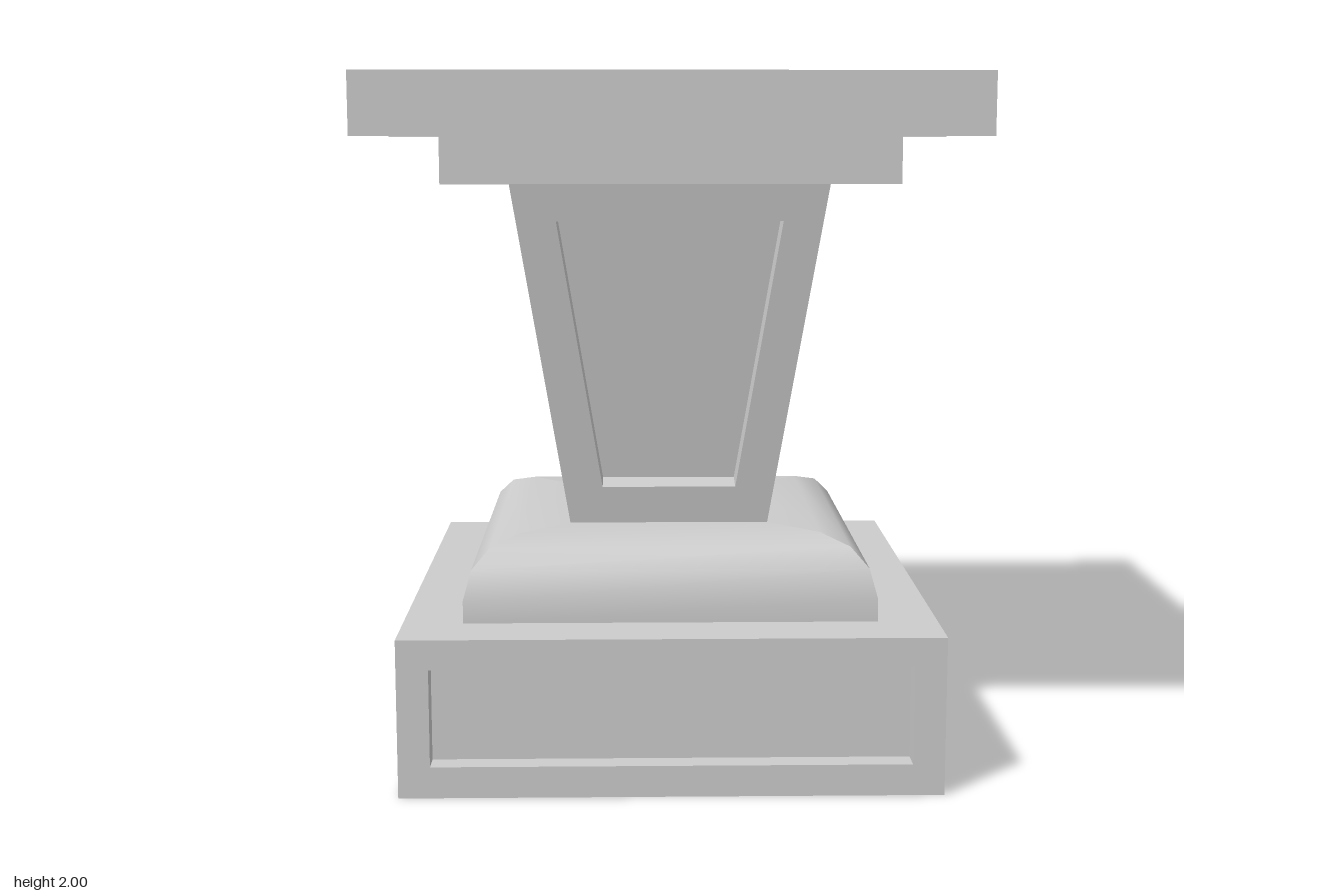
import * as THREE from 'three';

const material = new THREE.MeshStandardMaterial({ color: 0xcccccc, flatShading: true });
const smooth = new THREE.MeshStandardMaterial({ color: 0xcccccc });
const V = (x, y, z) => new THREE.Vector3(x, y, z);

// Horizontal square ring of half-width h at height y
const square = (h, y) => [V(-h, y, h), V(h, y, h), V(h, y, -h), V(-h, y, -h)];

// Skin successive four-cornered rings with flat faces
function loft(rings) {
  const points = [];
  const tri = (a, b, c) => {
    if (!a.equals(b) && !b.equals(c) && !c.equals(a)) points.push(a, b, c);
  };
  for (let r = 0; r < rings.length - 1; r++) {
    for (let i = 0; i < 4; i++) {
      const j = (i + 1) % 4, lo = rings[r], hi = rings[r + 1];
      tri(lo[i], lo[j], hi[j]);
      tri(lo[i], hi[j], hi[i]);
    }
  }
  const geometry = new THREE.BufferGeometry().setFromPoints(points);
  geometry.computeVertexNormals();
  return geometry;
}

function mesh(name, geometry, mat = material) {
  const m = new THREE.Mesh(geometry, mat);
  m.name = name;
  return m;
}

// Repeat one side around the four faces
function fourSides(name, geometry, mat) {
  const group = new THREE.Group();
  group.name = name;
  for (let i = 0; i < 4; i++) {
    const side = mesh(name + 'Side', geometry, mat);
    side.rotation.y = i * Math.PI / 2;
    group.add(side);
  }
  return group;
}

// One upright or sloping face with a sunken panel:
// h0/h1 half-widths at y0/y1, w0/w1 panel half-widths at p0/p1
function panelFace({ y0, y1, h0, h1, p0, p1, w0, w1, depth }) {
  const slope = (h1 - h0) / (y1 - y0);
  const z = y => h0 + (y - y0) * slope;
  const quad = (a, ya, b, yb) =>
    [V(-a, ya, z(ya)), V(a, ya, z(ya)), V(b, yb, z(yb)), V(-b, yb, z(yb))];
  const hole = quad(w0, p0, w1, p1);
  const inward = V(0, slope, -1).setLength(depth);
  const back = hole.map(p => p.clone().add(inward));
  const centre = back.reduce((s, p) => s.add(p), V(0, 0, 0)).divideScalar(4);
  return loft([quad(h0, y0, h1, y1), hole, back, back.map(() => centre)]);
}

export function createModel() {
  const model = new THREE.Group();
  model.name = 'pedestal';

  // Plinth with panelled sides
  const plinth = fourSides('plinth', panelFace({
    y0: 0, y1: 0.455, h0: 0.765, h1: 0.765,
    p0: 0.09, p1: 0.37, w0: 0.675, w1: 0.675, depth: 0.065
  }));
  plinth.add(mesh('plinthBottom', loft([square(0, 0), square(0.765, 0)])));
  plinth.add(mesh('plinthTop', loft([square(0.765, 0.455), square(0, 0.455)])));
  model.add(plinth);

  // Rounded cushion moulding, mitred at the corners; [half-width, height]
  const profile = [[0.28, 0.683], [0.44, 0.683], [0.52, 0.658], [0.57, 0.605], [0.593, 0.52], [0.593, 0.455]];
  const cushion = new THREE.PlaneGeometry(1, 1, 1, profile.length - 1);
  const pos = cushion.attributes.position;
  for (let i = 0; i < pos.count; i++) {
    const [h, y] = profile[i >> 1];
    pos.setXYZ(i, i % 2 ? h : -h, y, h);
  }
  cushion.computeVertexNormals();
  model.add(fourSides('cushion', cushion, smooth));

  // Flared column with sunken panels
  model.add(fourSides('column', panelFace({
    y0: 0.68, y1: 1.7, h0: 0.295, h1: 0.457,
    p0: 0.795, p1: 1.59, w0: 0.198, w1: 0.325, depth: 0.085
  })));

  // Neck slab below the top
  model.add(mesh('neck', loft([square(0, 1.7), square(0.633, 1.7), square(0.633, 1.83), square(0, 1.83)])));

  // Top slab with a raised rim
  model.add(mesh('topSlab', loft([
    square(0, 1.83), square(0.845, 1.83), square(0.845, 2),
    square(0.762, 2), square(0.762, 1.95), square(0, 1.95)
  ])));

  return model;
}
